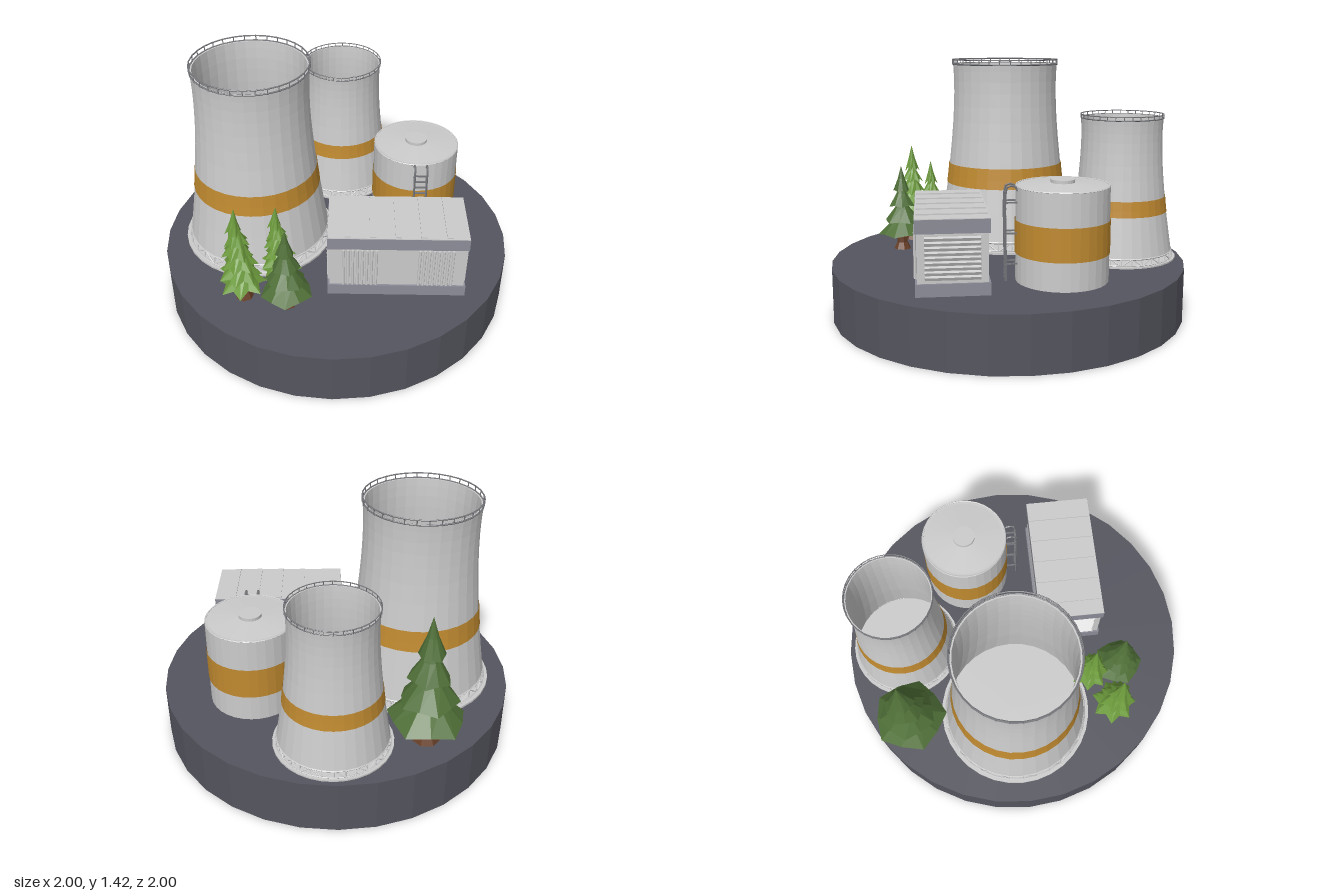
import * as THREE from 'three';

const mat = (color, double = false) => new THREE.MeshStandardMaterial({
  color, flatShading: true, side: double ? THREE.DoubleSide : THREE.FrontSide });
const GREY = mat(0xcccccc), SHELL = mat(0xcccccc, true), BAND = mat(0xc08a30, true);
const STEEL = mat(0x77787c), TRIM = mat(0x8c8d98), GROUND = mat(0x55555f);
const BARK = mat(0x6a4029), PINE = mat(0x4f6f37, true), LEAF = mat(0x6c9a3c, true);

function add(parent, name, geometry, material, x = 0, y = 0, z = 0) {
  const m = new THREE.Mesh(geometry, material);
  m.name = name;
  m.position.set(x, y, z);
  parent.add(m);
  return m;
}
function group(parent, name, x, y, z) {
  const g = new THREE.Group();
  g.name = name;
  g.position.set(x, y, z);
  parent.add(g);
  return g;
}
const box = (w, h, d) => new THREE.BoxGeometry(w, h, d);
const cyl = (rt, rb, h, n = 32) => new THREE.CylinderGeometry(rt, rb, h, n);
const polar = (r, a, y) => new THREE.Vector3(r * Math.sin(a), y, r * Math.cos(a));

// Thin round bar between two points
function bar(parent, name, a, b, r, material = STEEL) {
  const m = add(parent, name, cyl(r, r, a.distanceTo(b), 5), material);
  m.position.copy(a).lerp(b, 0.5);
  m.quaternion.setFromUnitVectors(new THREE.Vector3(0, 1, 0), b.clone().sub(a).normalize());
}
function hoop(parent, name, r, tube, y, material) {
  add(parent, name, new THREE.TorusGeometry(r, tube, 5, 32), material, 0, y, 0).rotation.x = Math.PI / 2;
}

// Cooling tower: waisted shell on a ring of struts, with a rail round the rim
function coolingTower(parent, x, z, scale) {
  const g = group(parent, 'coolingTower', x, 0.3, z);
  g.scale.setScalar(scale);
  const wall = new THREE.SplineCurve([[0.405, 0.065], [0.358, 0.37], [0.344, 0.49], [0.323, 0.7],
    [0.313, 0.87], [0.312, 1.0], [0.317, 1.09]].map(p => new THREE.Vector2(...p)));
  const outer = wall.getPoints(11);
  const inner = outer.map(p => new THREE.Vector2(p.x - 0.012, p.y)).reverse();
  add(g, 'towerShell', new THREE.LatheGeometry([...outer, ...inner, outer[0].clone()], 32), SHELL);
  const stripe = [[0.362, 0.37], [0.3555, 0.42], [0.348, 0.49]].map(p => new THREE.Vector2(...p));
  add(g, 'towerStripe', new THREE.LatheGeometry(stripe, 32), BAND);
  add(g, 'towerSlab', cyl(0.437, 0.437, 0.012), GREY, 0, 0.006, 0);
  hoop(g, 'strutRing', 0.404, 0.007, 0.062, GREY);
  hoop(g, 'strutFootRing', 0.414, 0.005, 0.015, GREY);
  hoop(g, 'rimRail', 0.319, 0.004, 1.117, STEEL);
  hoop(g, 'rimCurb', 0.317, 0.005, 1.09, STEEL);
  const n = 32, step = Math.PI * 2 / n;
  for (let i = 0; i < n; i++) {
    const a = i * step, foot = polar(0.414, a, 0.012), head = polar(0.404, a, 0.065);
    bar(g, 'upright', foot, head, 0.004, GREY);
    if (i % 2) bar(g, 'brace', foot, polar(0.404, a + step, 0.065), 0.004, GREY);
    else bar(g, 'brace', head, polar(0.414, a + step, 0.012), 0.004, GREY);
    bar(g, 'railPost', polar(0.319, a, 1.085), polar(0.319, a, 1.117), 0.003);
  }
}

// Storage tank with a low conical roof, hatch and ladder
function storageTank(parent) {
  const g = group(parent, 'storageTank', 0.465, 0.3, -0.235);
  add(g, 'tankWall', cyl(0.245, 0.245, 0.5), GREY, 0, 0.25, 0);
  add(g, 'tankStripe', new THREE.CylinderGeometry(0.249, 0.249, 0.175, 32, 1, true), BAND, 0, 0.238, 0);
  add(g, 'tankRoof', cyl(0.065, 0.237, 0.014), GREY, 0, 0.506, 0);
  hoop(g, 'tankRim', 0.241, 0.005, 0.499, GREY);
  add(g, 'hatch', cyl(0.063, 0.063, 0.02, 24), GREY, 0, 0.52, 0);
  for (const s of [-1, 1]) {
    const path = new THREE.CatmullRomCurve3([[0.01, 0.3], [0.14, 0.3], [0.47, 0.3], [0.5, 0.292],
      [0.507, 0.272], [0.5, 0.25], [0.48, 0.24]].map(p => new THREE.Vector3(0.012 + s * 0.034, p[0], p[1])));
    add(g, 'ladderRail', new THREE.TubeGeometry(path, 24, 0.006, 5), STEEL);
  }
  for (let i = 0; i < 12; i++)
    add(g, 'ladderRung', box(0.068, 0.008, 0.008), STEEL, 0.012, 0.035 + i * 0.039, 0.3);
  for (const y of [0.1, 0.26, 0.42]) for (const s of [-1, 1])
    add(g, 'ladderBracket', box(0.008, 0.008, 0.07), STEEL, 0.012 + s * 0.034, y, 0.27);
}

// Plant building with plinth, ribbed roof, front fins and end louvres
function plantBuilding(parent) {
  const g = group(parent, 'plantBuilding', 0.337, 0.3, 0.342);
  add(g, 'plinth', box(0.745, 0.065, 0.372), TRIM, 0, 0.0325, 0);
  add(g, 'walls', box(0.725, 0.26, 0.352), GREY, 0, 0.19, 0);
  add(g, 'roofFascia', box(0.745, 0.07, 0.372), TRIM, 0, 0.35, 0);
  add(g, 'roofPanel', box(0.743, 0.004, 0.37), GREY, 0, 0.387, 0);
  for (let i = 0; i < 5; i++)
    add(g, 'roofRib', box(0.032, 0.012, 0.355), GREY, -0.267 + i * 0.1335, 0.39, 0);
  for (const x of [-0.2, 0.204]) for (let i = 0; i < 8; i++)
    add(g, 'frontFin', cyl(0.0075, 0.0075, 0.236, 8), GREY, x + (i - 3.5) * 0.025, 0.19, 0.184);
  for (const s of [-1, 1]) {
    for (let i = 0; i < 9; i++)
      add(g, 'louvreSlat', box(0.018, 0.017, 0.275), GREY, s * 0.365, 0.093 + i * 0.0245, 0)
        .rotation.z = -s * 0.45;
    for (const z of [-1, 1])
      add(g, 'louvreFrame', box(0.014, 0.235, 0.01), GREY, s * 0.366, 0.19, z * 0.142);
  }
}

// Skirt of foliage: a concave cone whose rim zigzags in and out
function skirt(r, h, n, jag, twist) {
  const geo = new THREE.ConeGeometry(r, h, n, 2, true, twist);
  const p = geo.attributes.position;
  for (let i = 0; i < p.count; i++) {
    const k = i % (n + 1), row = Math.floor(i / (n + 1));
    const f = row === 1 ? 0.82 : row === 2 && k % 2 ? 1 - jag : 1;
    const lift = row === 2 && k % 2 ? jag * h * 0.5 : 0;
    p.setXYZ(i, p.getX(i) * f, p.getY(i) + lift, p.getZ(i) * f);
  }
  return geo;
}
// Each tier is [rim height, rim radius, top height]
function tree(parent, name, x, z, scale, tiers, n, jag, material, lean) {
  const g = group(parent, name, x, 0.3, z);
  g.scale.setScalar(scale);
  const trunk = [[0.05, 0], [0.032, 0.04], [0.028, 0.14], [0.012, 0.3]].map(p => new THREE.Vector2(...p));
  add(g, 'trunk', new THREE.LatheGeometry(trunk, 7), BARK);
  tiers.forEach(([y, r, top], i) => {
    const m = add(g, 'foliage', skirt(r, top - y, n, jag, i * 0.8), material, -lean * (y + top) / 2, (y + top) / 2, 0);
    m.rotation.z = (i % 2 ? -1 : 1) * jag * 0.2;
  });
}

export function createModel() {
  const model = new THREE.Group();
  model.name = 'powerPlant';
  add(model, 'groundDisc', cyl(1, 1, 0.3), GROUND, 0, 0.15, 0);
  coolingTower(model, -0.455, -0.03, 1);
  coolingTower(model, 0.022, -0.65, 0.735);
  storageTank(model);
  plantBuilding(model);

  const pine = [[0.09, 0.142, 0.25], [0.17, 0.108, 0.33], [0.26, 0.078, 0.41], [0.35, 0.05, 0.5]];
  tree(model, 'pineTree', -0.25, 0.61, 1, pine, 10, 0.12, PINE, 0);
  tree(model, 'pineTree', -0.465, -0.645, 1.5, pine, 10, 0.12, PINE, 0);

  const fir = [[0.08, 0.13, 0.23], [0.15, 0.118, 0.3], [0.22, 0.1, 0.37],
    [0.29, 0.084, 0.44], [0.36, 0.068, 0.5], [0.43, 0.046, 0.59]];
  tree(model, 'firTree', -0.485, 0.55, 1, fir, 14, 0.3, LEAF, 0.05);
  tree(model, 'firTree', -0.285, 0.435, 0.88, fir, 14, 0.3, LEAF, 0.06);
  return model;
}
